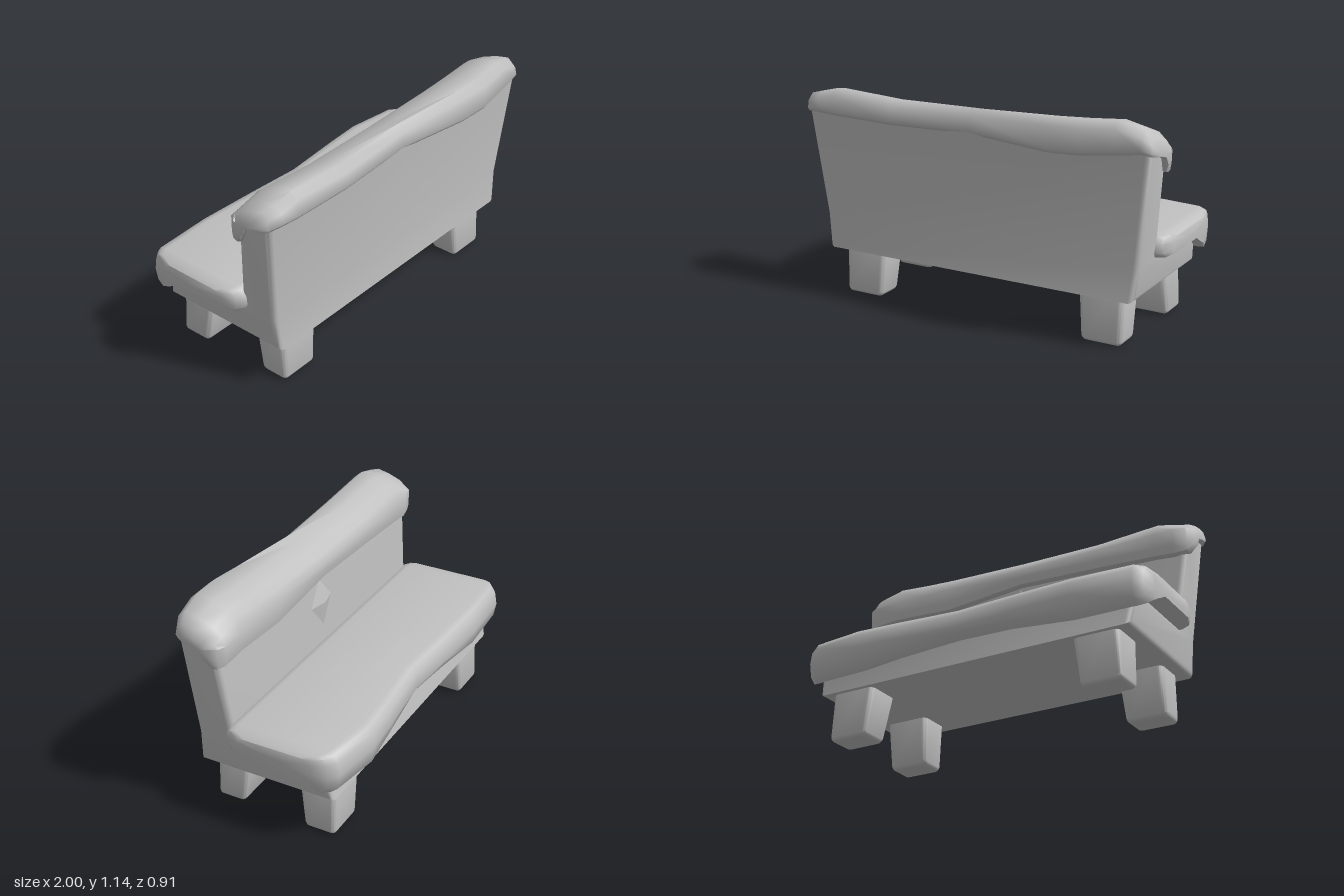
import * as THREE from 'three';
import { toCreasedNormals } from 'three/addons/utils/BufferGeometryUtils.js';
import { RoundedBoxGeometry } from 'three/addons/geometries/RoundedBoxGeometry.js';

const stone = new THREE.MeshStandardMaterial({ color: 0xc0c0c0 });
stone.name = 'stone grey';

function add(group, name, geometry) {
  const mesh = new THREE.Mesh(geometry, stone);
  mesh.name = name;
  group.add(mesh);
  return mesh;
}

// Skins closed [z, y] rings placed along x, closing both ends with a fan.
function loft(stations, ringAt) {
  const pos = [], index = [];
  let n = 0;
  for (const s of stations) {
    const ring = ringAt(s);
    n = ring.length;
    for (const [z, y] of ring) pos.push(s.x, y, z);
  }
  const last = stations.length - 1;
  for (let s = 0; s < last; s++) {
    for (let i = 0; i < n; i++) {
      const j = (i + 1) % n, a = s * n, b = a + n;
      index.push(a + i, b + i, a + j, b + i, b + j, a + j);
    }
  }
  for (const s of [0, last]) {
    const c = new THREE.Vector3();
    for (let i = 0; i < n; i++) c.add(new THREE.Vector3().fromArray(pos, (s * n + i) * 3));
    c.divideScalar(n);
    const id = pos.length / 3;
    pos.push(c.x, c.y, c.z);
    for (let i = 0; i < n; i++) {
      const a = s * n + i, b = s * n + (i + 1) % n;
      if (s === 0) index.push(id, a, b);
      else index.push(id, b, a);
    }
  }
  const g = new THREE.BufferGeometry();
  g.setAttribute('position', new THREE.Float32BufferAttribute(pos, 3));
  g.setIndex(index);
  return toCreasedNormals(g, 0.95);
}

const shrink = (ring, k, cz, cy) => ring.map(([z, y]) => [cz + (z - cz) * k, cy + (y - cy) * k]);

// L-shaped body, flared towards the top
function bodyGeometry() {
  const b = 0.03;
  const shape = new THREE.Shape([
    [0.34, 0.28], [0.33, 0.43], [0.37, 0.99], [0.235, 0.99],
    [0.185, 0.5], [0.18, 0.42], [-0.31, 0.42], [-0.34, 0.28],
  ].map(([z, y]) => new THREE.Vector2(-z, y)));
  const g = new THREE.ExtrudeGeometry(shape, {
    depth: 2 - 2 * b, bevelThickness: b, bevelSize: b, bevelSegments: 3, steps: 1,
  });
  g.translate(0, 0, -(1 - b));
  g.rotateY(Math.PI / 2);
  // Extrusion runs along x and the profile's first axis becomes -z
  const p = g.attributes.position;
  for (let i = 0; i < p.count; i++) {
    p.setX(i, p.getX(i) * (0.885 + 0.085 * (p.getY(i) - 0.25) / 0.75));
  }
  return toCreasedNormals(g, 0.9);
}

// Soft leg whose foot is narrower and shifted by (dx, dz)
function legGeometry(w, d, footW, footD, dx, dz) {
  const h = 0.34;
  const g = new RoundedBoxGeometry(w, h, d, 3, 0.03);
  g.translate(0, h / 2, 0);
  const p = g.attributes.position;
  for (let i = 0; i < p.count; i++) {
    const t = Math.max(0, 1 - p.getY(i) / 0.25);
    p.setX(i, p.getX(i) * (1 + (footW / w - 1) * t) + dx * t);
    p.setZ(i, p.getZ(i) * (1 + (footD / d - 1) * t) + dz * t);
  }
  g.computeVertexNormals();
  return toCreasedNormals(g, 0.9);
}

export function createModel() {
  const model = new THREE.Group();
  model.name = 'bench';

  add(model, 'body', bodyGeometry());

  // Drooping cover on the seat: lip = front reach, drop = lower edge
  const seatStations = [
    { x: -0.99, lip: -0.37, drop: 0.37, k: 0.72 },
    { x: -0.965, lip: -0.40, drop: 0.345, k: 0.93 },
    { x: -0.92, lip: -0.415, drop: 0.335, k: 1 },
    { x: -0.6, lip: -0.432, drop: 0.33, k: 1 },
    { x: -0.25, lip: -0.42, drop: 0.37, k: 1 },
    { x: 0.05, lip: -0.405, drop: 0.385, k: 1 },
    { x: 0.4, lip: -0.44, drop: 0.35, k: 1 },
    { x: 0.62, lip: -0.457, drop: 0.32, k: 1 },
    { x: 0.9, lip: -0.425, drop: 0.33, k: 1 },
    { x: 0.95, lip: -0.41, drop: 0.335, k: 0.93 },
    { x: 0.975, lip: -0.38, drop: 0.36, k: 0.72 },
  ];
  add(model, 'seatCover', loft(seatStations, ({ lip, drop, k }) => shrink([
    [0.17, 0.43], [0.19, 0.455], [0.19, 0.51], [0.165, 0.54], [0.13, 0.547],
    [lip + 0.07, 0.55], [lip + 0.035, 0.543], [lip + 0.012, 0.51], [lip, 0.44], [lip + 0.015, drop + 0.03],
    [lip + 0.05, drop], [lip + 0.09, drop + 0.02], [-0.23, 0.43],
  ], k, -0.12, 0.475)));

  // Drooping cover over the top of the backrest
  const topStations = [
    { x: -1.0, top: 1.06, back: 0.41, hem: 0.98, front: 0.86, k: 0.6 },
    { x: -0.97, top: 1.085, back: 0.42, hem: 0.985, front: 0.845, k: 0.9 },
    { x: -0.9, top: 1.095, back: 0.425, hem: 0.99, front: 0.85, k: 1 },
    { x: -0.8, top: 1.12, back: 0.43, hem: 0.985, front: 0.86, k: 1 },
    { x: -0.45, top: 1.1, back: 0.428, hem: 0.975, front: 0.88, k: 1 },
    { x: 0, top: 1.105, back: 0.405, hem: 0.98, front: 0.9, k: 1 },
    { x: 0.45, top: 1.12, back: 0.445, hem: 0.955, front: 0.86, k: 1 },
    { x: 0.62, top: 1.13, back: 0.458, hem: 0.965, front: 0.87, k: 1 },
    { x: 0.8, top: 1.145, back: 0.44, hem: 0.985, front: 0.88, k: 1 },
    { x: 0.93, top: 1.115, back: 0.425, hem: 1.0, front: 0.87, k: 1 },
    { x: 0.975, top: 1.085, back: 0.42, hem: 0.99, front: 0.86, k: 0.88 },
    { x: 0.995, top: 1.06, back: 0.4, hem: 0.98, front: 0.87, k: 0.6 },
  ];
  add(model, 'backrestCover', loft(topStations, ({ top, back, hem, front, k }) => shrink([
    [back - 0.015, hem], [back, hem + 0.02], [back - 0.01, top - 0.035], [back - 0.05, top],
    [0.3, top - 0.015], [0.22, top - 0.045], [0.18, top - 0.08], [0.157, 0.99], [0.157, front + 0.05],
    [0.165, front + 0.01], [0.19, front], [0.22, front + 0.01], [0.26, 0.95], [0.36, hem],
  ], k, 0.29, 0.99)));

  // Shallow diamond stud on the backrest
  const stud = add(model, 'diamondStud', toCreasedNormals(new THREE.OctahedronGeometry(1), 0.1));
  stud.scale.set(0.1, 0.13, 0.025);
  stud.position.set(0.01, 0.76, 0.18);
  stud.rotation.x = 0.1;

  // Two back legs and two slightly splayed front legs
  for (const side of [-1, 1]) {
    const back = add(model, 'backLeg', legGeometry(0.25, 0.19, 0.22, 0.155, side * 0.01, 0.03));
    back.position.set(side * 0.69, 0, 0.225);
    const front = add(model, 'frontLeg', legGeometry(0.25, 0.21, 0.22, 0.17, side * 0.03, -0.023));
    front.position.set(side * 0.69, 0, -0.243);
  }
  return model;
}
